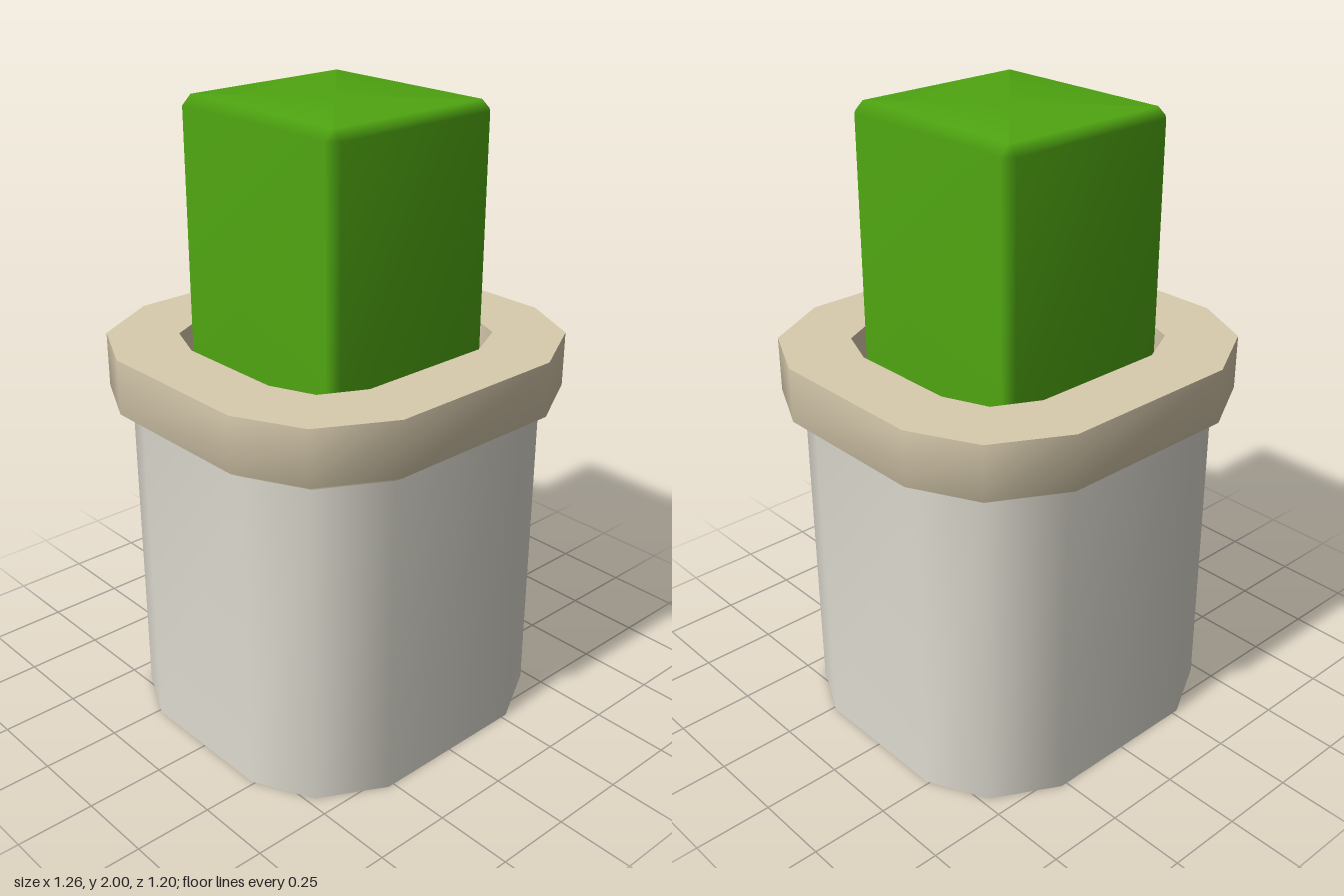
import * as THREE from 'three';

const material = (name, color, side = THREE.FrontSide) => {
  const m = new THREE.MeshStandardMaterial({ color, side });
  m.name = name;
  return m;
};

// Mirror the corner points of one quadrant (ordered from +x to +z) into a full outline
function outline(q) {
  const r = [...q].reverse();
  return [
    ...q,
    ...r.map(([x, z]) => [-x, z]),
    ...q.map(([x, z]) => [-x, -z]),
    ...r.map(([x, z]) => [x, -z]),
  ];
}
const scaled = (pts, s) => pts.map(([x, z]) => [x * s, z * s]);
const chamferedRect = (x, z, c) => outline([[x, z - c], [x - c, z]]);

// Smooth skin through stacked outlines; each step is [outline, height, material index of the band above]
function loft(steps) {
  const n = steps[0][0].length;
  const positions = [], index = [];
  const geo = new THREE.BufferGeometry();
  for (const [pts, y] of steps) for (const [x, z] of pts) positions.push(x, y, z);
  for (let s = 0; s < steps.length - 1; s++) {
    geo.addGroup(index.length, n * 6, steps[s][2] ?? 0);
    for (let i = 0; i < n; i++) {
      const a = s * n + i, b = s * n + (i + 1) % n;
      index.push(a, a + n, b, b, a + n, b + n);
    }
  }
  geo.setAttribute('position', new THREE.Float32BufferAttribute(positions, 3));
  geo.setIndex(index);
  geo.computeVertexNormals();
  return geo;
}

export function createModel() {
  const group = new THREE.Group();
  const stone = material('pale stone', 0xdedbd0);
  const sand = material('sand rim', 0xd8cbae);
  const soil = material('brown soil', 0xb07e60);
  const leaf = material('leaf green', 0x4fa511);

  const add = (name, steps, mats) => {
    const mesh = new THREE.Mesh(loft(steps), mats);
    mesh.name = name;
    group.add(mesh);
    return mesh;
  };

  const outer = outline([[0.63, 0.265], [0.527, 0.475], [0.3, 0.6]]);
  const inner = outline([[0.42, 0.18], [0.363, 0.32], [0.225, 0.39]]);
  const wall = scaled(outer, 0.903);
  const top = 1.275, soilY = 1.14;

  // Pot wall flowing into the bevelled rim
  add('potWallAndRim', [[wall, 0, 0], [wall, 1.06, 1], [outer, 1.1, 1], [outer, top]], [stone, sand]);
  add('potBase', [[scaled(wall, 0), 0], [wall, 0]], [stone]);
  add('rimTop', [[outer, top], [inner, top]], [sand]);
  add('rimInside', [[inner, top], [inner, soilY]], [sand]);
  add('soil', [[inner, soilY], [scaled(inner, 0), soilY]], [soil]);

  // Clipped hedge block with bevelled edges
  const side = chamferedRect(0.317, 0.34, 0.03);
  const lid = chamferedRect(0.287, 0.31, 0.002);
  const hedge = add('hedge', [[side, soilY - 0.02], [side, 1.97], [lid, 2], [scaled(lid, 0), 2]], [leaf]);
  hedge.position.z = -0.004;

  return group;
}
